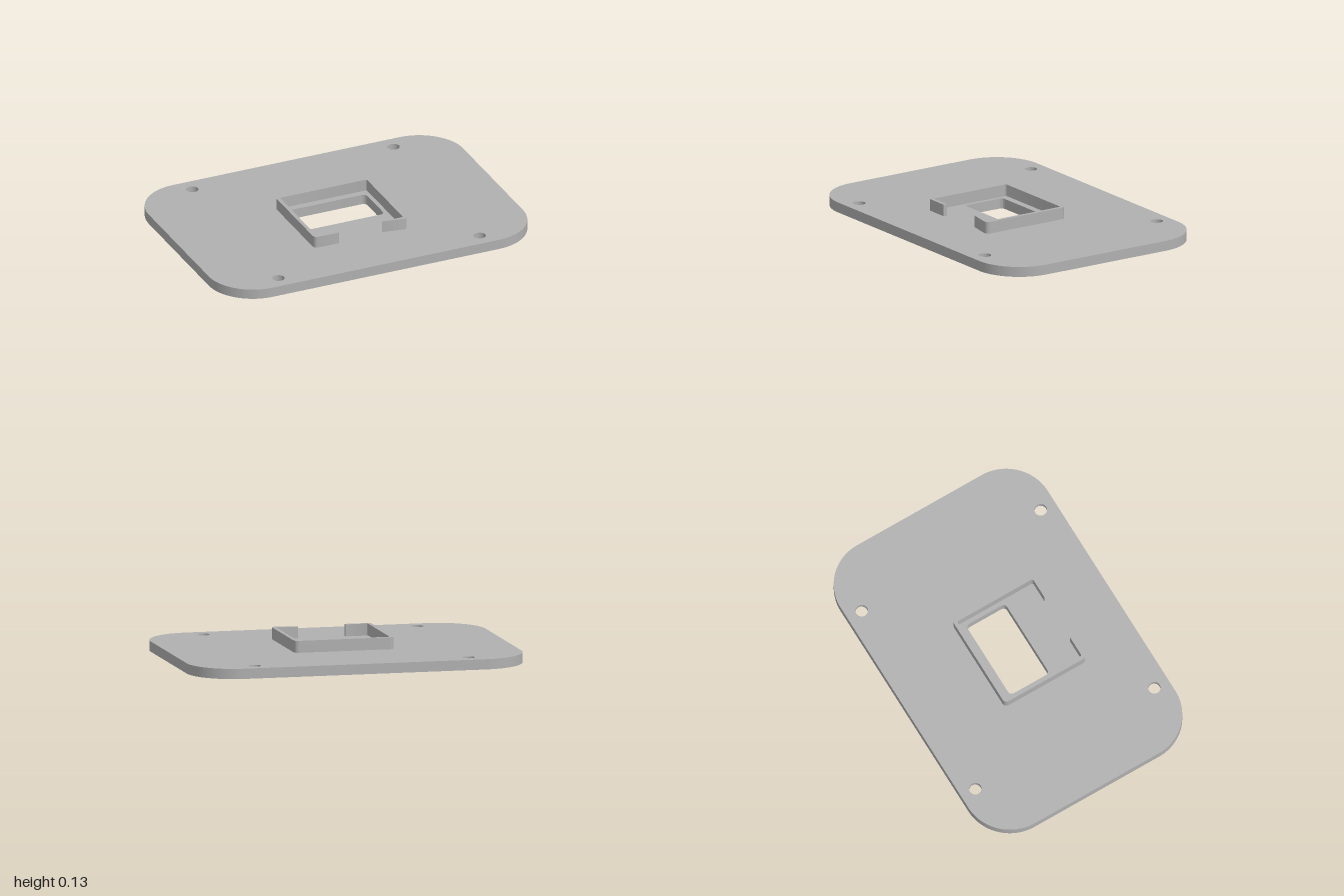
import * as THREE from 'three';
import { toCreasedNormals } from 'three/addons/utils/BufferGeometryUtils.js';

// Rounded rectangle outline from x0..x1, y0..y1 (shape y is world -z)
function roundedRect(path, x0, x1, y0, y1, r) {
  path.moveTo(x0 + r, y0);
  path.absarc(x1 - r, y0 + r, r, -Math.PI / 2, 0);
  path.absarc(x1 - r, y1 - r, r, 0, Math.PI / 2);
  path.absarc(x0 + r, y1 - r, r, Math.PI / 2, Math.PI);
  path.absarc(x0 + r, y0 + r, r, Math.PI, Math.PI * 1.5);
  path.closePath();
  return path;
}

// Extrude a plan outline upward from y = base
function slab(name, shape, base, height, material) {
  const raw = new THREE.ExtrudeGeometry(shape, { depth: height, bevelEnabled: false, curveSegments: 20 });
  raw.rotateX(-Math.PI / 2);
  raw.translate(0, base, 0);
  const mesh = new THREE.Mesh(toCreasedNormals(raw, 0.6), material);
  mesh.name = name;
  return mesh;
}

// Plate outline with the central window and four screw holes
function plateShape(holeRadius) {
  const shape = roundedRect(new THREE.Shape(), -1, 1, -0.7, 0.7, 0.28);
  shape.holes.push(roundedRect(new THREE.Path(), -0.25, 0.25, -0.13, 0.135, 0.025));
  for (const x of [-0.64, 0.64]) {
    for (const y of [-0.605, 0.605]) {
      shape.holes.push(new THREE.Path().absarc(x, y, holeRadius, 0, Math.PI * 2, true));
    }
  }
  return shape;
}

// C-shaped wall, open in the middle of the front
function rimShape() {
  const w = 0.298, y0 = -0.355, y1 = 0.2, t = 0.022, r = 0.027, gap = 0.142;
  const ri = 0.012, wi = w - t, b0 = y0 + t, b1 = y1 - t;
  const q = Math.PI / 2;
  const s = new THREE.Shape();
  s.moveTo(gap, y0);
  s.absarc(w - r, y0 + r, r, -q, 0);
  s.absarc(w - r, y1 - r, r, 0, q);
  s.absarc(-w + r, y1 - r, r, q, 2 * q);
  s.absarc(-w + r, y0 + r, r, 2 * q, 3 * q);
  s.lineTo(-gap, y0);
  s.lineTo(-gap, b0);
  s.absarc(-wi + ri, b0 + ri, ri, 3 * q, 2 * q, true);
  s.absarc(-wi + ri, b1 - ri, ri, 2 * q, q, true);
  s.absarc(wi - ri, b1 - ri, ri, q, 0, true);
  s.absarc(wi - ri, b0 + ri, ri, 0, -q, true);
  s.lineTo(gap, b0);
  s.closePath();
  return s;
}

export function createModel() {
  const grey = new THREE.MeshStandardMaterial({ color: 0xb0b0b0 });
  grey.name = 'grey';
  const model = new THREE.Group();
  model.name = 'mountingPlate';

  // The lower layer has wider holes that recess the screw heads
  model.add(slab('plateLower', plateShape(0.058), 0, 0.03, grey));
  model.add(slab('plateUpper', plateShape(0.036), 0.03, 0.03, grey));

  // Raised retaining wall around the window
  model.add(slab('retainingWall', rimShape(), 0.06, 0.07, grey));
  return model;
}
